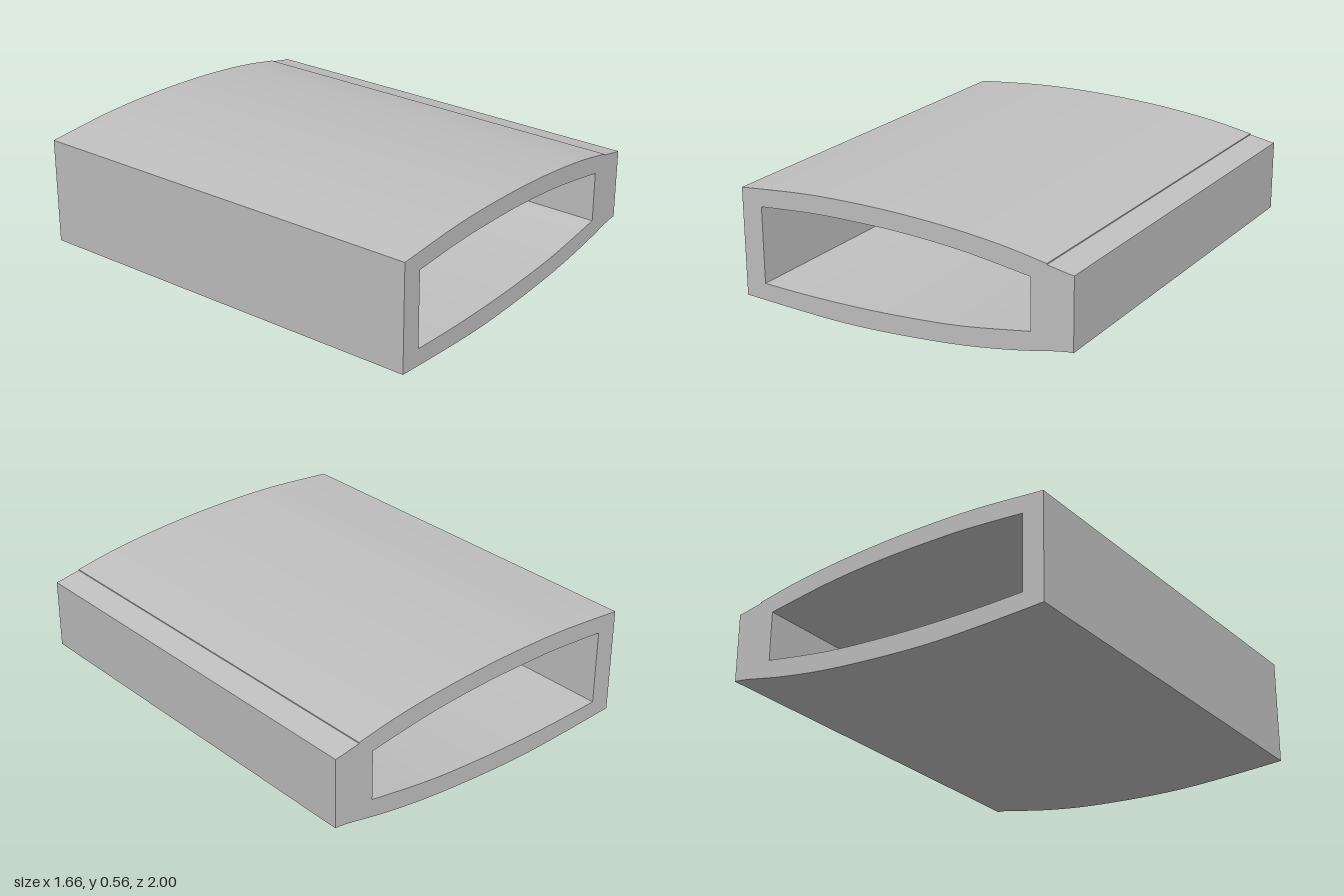
import * as THREE from 'three';
import { toCreasedNormals } from 'three/addons/utils/BufferGeometryUtils.js';

const DEPTH = 2;

// Smooth curve through a few [x, y] points
const curve = (pts, n = 28) =>
  new THREE.SplineCurve(pts.map(([x, y]) => new THREE.Vector2(x, y))).getPoints(n);

// Extrude a cross-section along z, centred on z = 0
function extrude(name, outline, hole, material) {
  const shape = new THREE.Shape(outline);
  if (hole) shape.holes.push(new THREE.Path(hole));
  const geometry = new THREE.ExtrudeGeometry(shape, { depth: DEPTH, bevelEnabled: false });
  geometry.translate(0, 0, -DEPTH / 2);
  const mesh = new THREE.Mesh(toCreasedNormals(geometry, 0.3), material);
  mesh.name = name;
  return mesh;
}

export function createModel() {
  const group = new THREE.Group();
  group.name = 'hollowSection';
  const grey = new THREE.MeshStandardMaterial({ color: 0xc0c0c0 });
  grey.name = 'grey';

  // Main sleeve: bowed top and bottom with a matching opening
  const outerBottom = curve([[-0.83, 0.021], [-0.55, 0.007], [-0.28, 0], [0, 0.01], [0.3, 0.034], [0.55, 0.07], [0.755, 0.112]]);
  const outerTop = curve([[0.705, 0.48], [0.5, 0.517], [0.25, 0.545], [0, 0.56], [-0.25, 0.564], [-0.5, 0.557], [-0.83, 0.529]]);
  const innerBottom = curve([[-0.727, 0.096], [-0.5, 0.089], [-0.25, 0.089], [0, 0.098], [0.3, 0.121], [0.63, 0.171]]);
  const innerTop = curve([[0.63, 0.409], [0.3, 0.456], [0, 0.477], [-0.25, 0.48], [-0.45, 0.476], [-0.727, 0.456]]);
  // Small step on the top next to the edge strip
  const step = [new THREE.Vector2(0.755, 0.466), new THREE.Vector2(0.705, 0.475)];
  group.add(extrude('sleeve', [...outerBottom, ...step, ...outerTop], [...innerBottom, ...innerTop], grey));

  // Solid strip along the narrow edge
  const strip = [[0.755, 0.112], [0.8, 0.119], [0.83, 0.121], [0.83, 0.453], [0.8, 0.457], [0.755, 0.466]];
  group.add(extrude('edgeStrip', strip.map(([x, y]) => new THREE.Vector2(x, y)), null, grey));

  return group;
}
